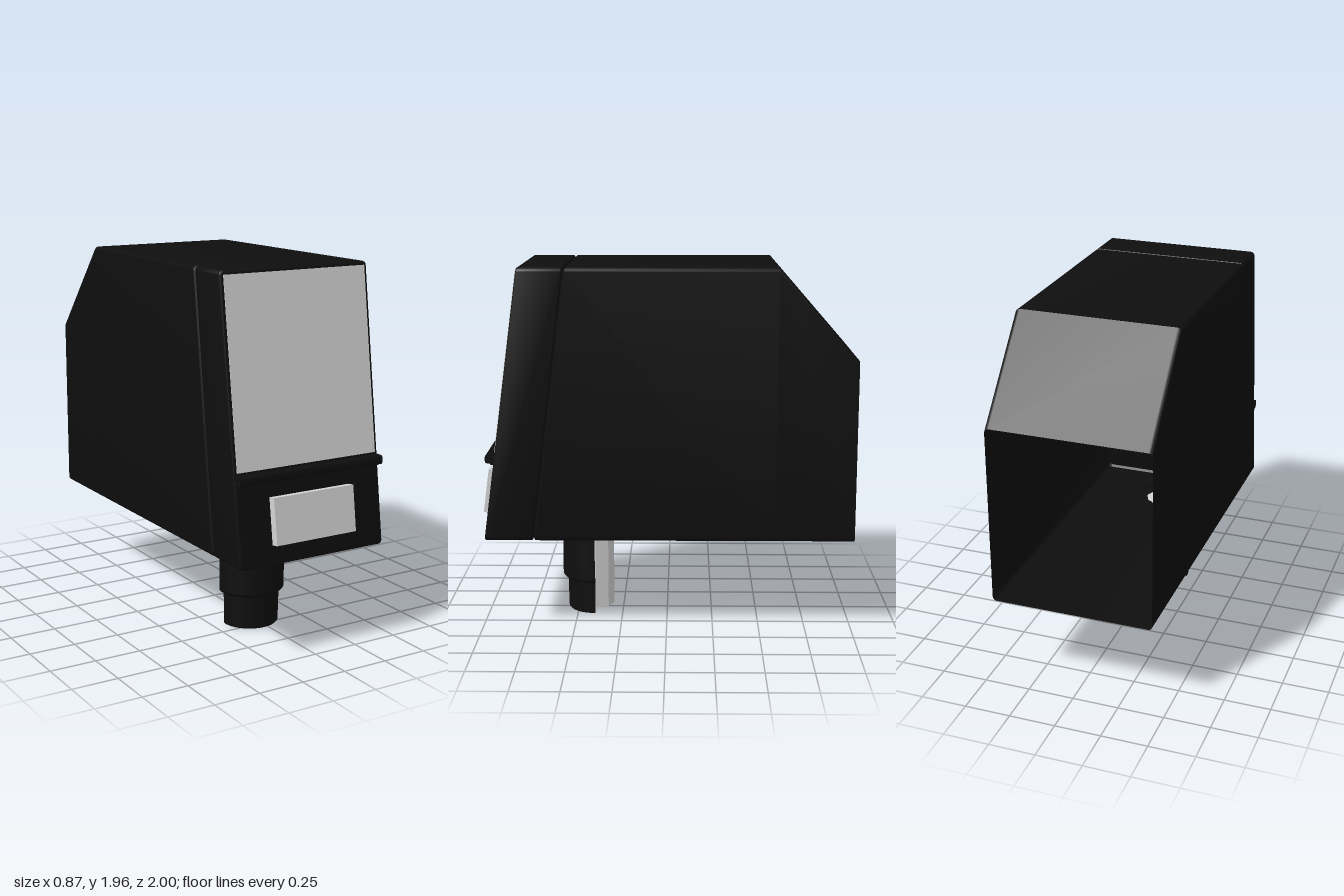
import * as THREE from 'three';
import { mergeVertices, toCreasedNormals } from 'three/addons/utils/BufferGeometryUtils.js';

const HALF_W = 0.435, BOTTOM = 0.51, TOP = 1.96, SLOPE = 0.138;
const TILT = -Math.atan(SLOPE);
const frontZ = y => 0.97 - (y - BOTTOM) * SLOPE;
const seamZ = y => 0.71 - (y - BOTTOM) * 0.124;

// Rounded rectangle outline, counter-clockwise from the front
function roundedRing(top, inset = 0, r = 0.022) {
  const w = HALF_W - inset - r, lo = BOTTOM + inset + r, hi = top - inset - r;
  const corners = [[w, lo], [w, hi], [-w, hi], [-w, lo]];
  const pts = [];
  corners.forEach(([x, y], c) => {
    for (let i = 0; i <= 4; i++) {
      const a = (c - 1 + i / 4) * Math.PI / 2;
      pts.push(new THREE.Vector2(x + r * Math.cos(a), y + r * Math.sin(a)));
    }
  });
  return pts;
}

// Skin through cross-sections ordered front to back
function loft(sections) {
  const n = sections[0].length, pos = [], idx = [];
  sections.forEach(s => s.forEach(p => pos.push(p.x, p.y, p.z)));
  for (let s = 0; s < sections.length - 1; s++) {
    for (let i = 0; i < n; i++) {
      const j = (i + 1) % n;
      const a = s * n + i, b = s * n + j, c = a + n, d = b + n;
      idx.push(a, c, b, b, c, d);
    }
  }
  const geo = new THREE.BufferGeometry();
  geo.setAttribute('position', new THREE.Float32BufferAttribute(pos, 3));
  geo.setIndex(idx);
  return toCreasedNormals(geo, 0.6);
}

export function createModel() {
  const model = new THREE.Group();
  const black = new THREE.MeshStandardMaterial({ color: 0x0e0e0e, side: THREE.DoubleSide });
  black.name = 'black plastic';
  const grey = new THREE.MeshStandardMaterial({ color: 0xd4d4d4 });
  grey.name = 'light grey';

  const add = (name, geo, mat, parent = model) => {
    const mesh = new THREE.Mesh(geo, mat);
    mesh.name = name;
    parent.add(mesh);
    return mesh;
  };

  // Hollow housing, open at the back, with a sloping rear top
  const section = (top, inset, zOf) =>
    roundedRing(top, inset).map(p => new THREE.Vector3(p.x, p.y, zOf(p.y)));
  add('housing', loft([
    section(TOP, 0.012, seamZ),
    section(TOP, 0, y => seamZ(y) - 0.012),
    section(TOP, 0, () => -0.58),
    section(1.48, 0, () => -1),
  ]), black);

  // Bevelled front bezel, leaned back to follow the front plane
  let bezel = new THREE.ExtrudeGeometry(new THREE.Shape(roundedRing(TOP)), {
    depth: 0.236, bevelEnabled: true, bevelThickness: 0.012,
    bevelSize: 0.012, bevelOffset: -0.012, bevelSegments: 3,
  });
  const p = bezel.attributes.position;
  for (let i = 0; i < p.count; i++) {
    const y = p.getY(i), t = (p.getZ(i) + 0.012) / 0.26;
    p.setZ(i, THREE.MathUtils.lerp(seamZ(y), frontZ(y), t));
  }
  bezel.deleteAttribute('uv');
  bezel.deleteAttribute('normal');
  bezel = toCreasedNormals(mergeVertices(bezel), 0.6);
  add('frontBezel', bezel, black);

  // Plates lying on the leaning front
  const plate = (name, width, y0, y1, thick) => {
    const y = (y0 + y1) / 2;
    const geo = new THREE.BoxGeometry(width, (y1 - y0) / Math.cos(TILT), thick);
    geo.translate(0, 0, thick / 2);
    const mesh = add(name, geo, grey);
    mesh.position.set(0, y, frontZ(y));
    mesh.rotation.x = TILT;
  };
  plate('screen', 0.835, 0.99, 1.94, 0.003);
  plate('labelPlate', 0.48, 0.612, 0.85, 0.042);

  // Narrow ledge below the screen, drawn in (z, y) and run across x
  const ledge = new THREE.Shape();
  ledge.moveTo(0.89, 0.98);
  ledge.lineTo(0.89, 0.925);
  ledge.lineTo(0.925, 0.925);
  ledge.lineTo(0.932, 0.934);
  ledge.lineTo(0.946, 0.934);
  ledge.quadraticCurveTo(0.956, 0.936, 0.956, 0.957);
  ledge.quadraticCurveTo(0.956, 0.979, 0.944, 0.98);
  const ledgeGeo = new THREE.ExtrudeGeometry(ledge, { depth: 0.86, bevelEnabled: false, curveSegments: 5 });
  ledgeGeo.rotateY(-Math.PI / 2).translate(0.43, 0, 0);
  add('screenLedge', ledgeGeo, black);

  // Stepped half-round neck cover, open towards the back
  const neck = new THREE.Group();
  neck.name = 'neck';
  neck.position.set(-0.025, 0, 0.403);
  model.add(neck);
  const profile = [
    [0.128, 0], [0.152, 0], [0.157, 0.006], [0.161, 0.18], [0.174, 0.185], [0.188, 0.2],
    [0.188, 0.515], [0.16, 0.515], [0.16, 0.21], [0.13, 0.195], [0.128, 0],
  ].map(([x, y]) => new THREE.Vector2(x, y));
  const shell = new THREE.LatheGeometry(profile, 24, -Math.PI / 2, Math.PI);
  shell.deleteAttribute('uv');
  shell.deleteAttribute('normal');
  add('neckCover', toCreasedNormals(shell, 0.5), black, neck);
  for (const side of [-1, 1]) {
    const edge = new THREE.Shape(profile.map(v => new THREE.Vector2(v.x * side, v.y)));
    add('neckCoverEdge', new THREE.ShapeGeometry(edge), black, neck);
  }

  // Eight-sided hollow pipe
  const octagon = r => Array.from({ length: 8 }, (_, i) =>
    new THREE.Vector2(r * Math.cos(i * Math.PI / 4), r * Math.sin(i * Math.PI / 4)));
  const pipe = new THREE.Shape(octagon(0.1));
  pipe.holes.push(new THREE.Path(octagon(0.055)));
  const pipeGeo = new THREE.ExtrudeGeometry(pipe, { depth: 0.495, bevelEnabled: false });
  pipeGeo.rotateX(-Math.PI / 2).translate(0, 0.015, 0);
  add('pipe', pipeGeo, grey, neck);

  return model;
}
